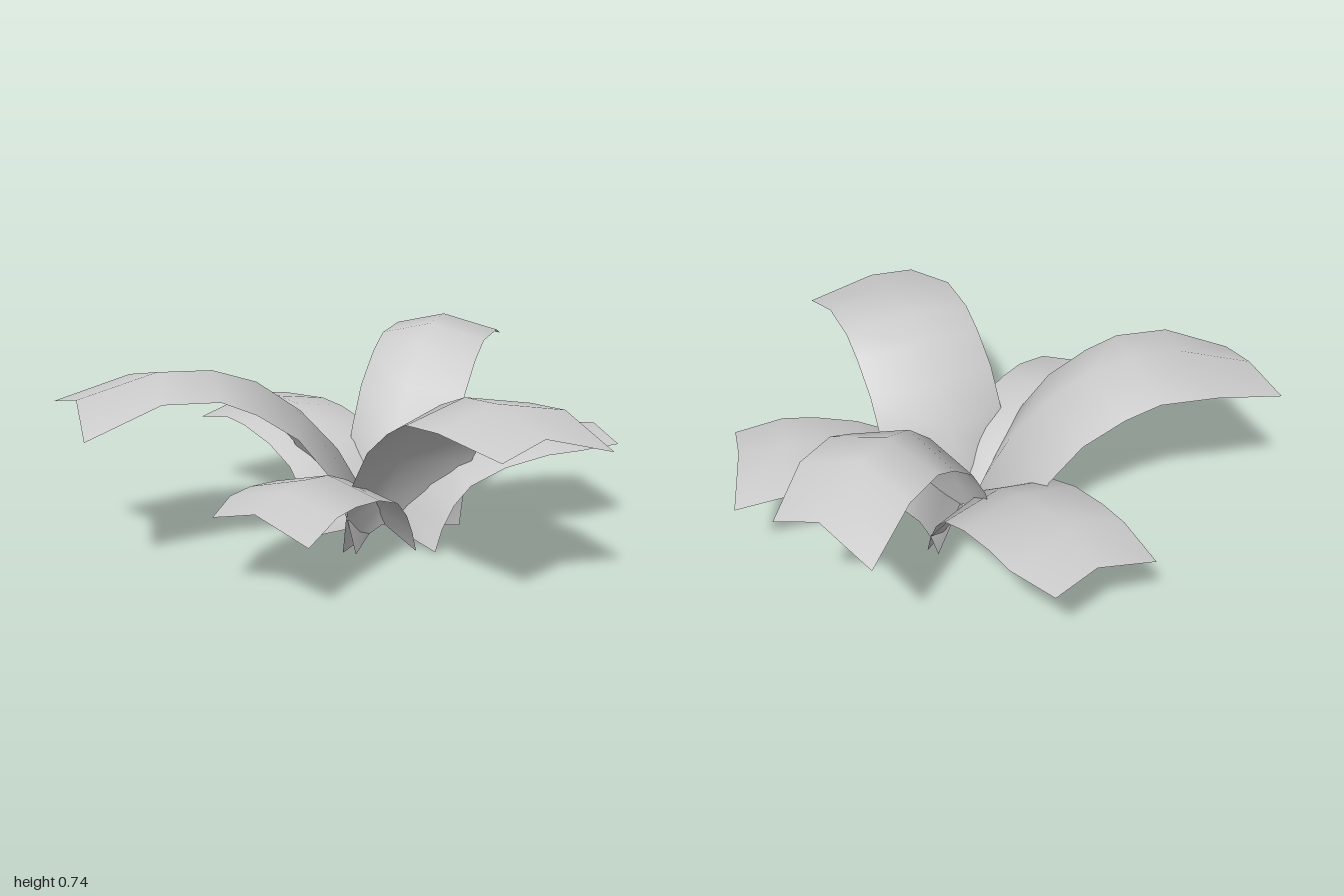
import * as THREE from 'three';

// Leaf profiles as [distance from the centre, height], base to tip
const TALL = {
  ridge: [[0, .05], [.05, .2], [.13, .38], [.25, .55], [.39, .68], [.53, .74], [.70, .75], [.95, .67]],
  edge: [[.14, .03], [.165, .17], [.22, .35], [.32, .51], [.45, .62], [.56, .68], [.74, .69], [.98, .58]],
};
const LOW = {
  ridge: [[0, .05], [.06, .12], [.14, .21], [.25, .29], [.37, .34], [.52, .365], [.65, .36], [.82, .33]],
  edge: [[.11, .005], [.14, .09], [.185, .17], [.25, .235], [.38, .285], [.54, .31], [.66, .31], [.835, .26]],
};

// Arched leaf folded along its ridge, growing towards -z.
// The right tip corner is narrower and less folded; skew makes the right side longer.
function leafGeometry({ ridge, edge }, half, length, height, skew) {
  const pos = [], index = [];
  const last = ridge.length - 1;
  for (let i = 0; i <= last; i++) {
    const [er, ey] = edge[i];
    const [rr, ry] = ridge[i];
    const right = half * (i === last ? 0.75 : 1);
    const rightY = i === last ? (ey + ry) / 2 : ey;
    pos.push(-half, ey * height, -er * length * (1 - skew));
    pos.push(0, ry * height, -rr * length);
    pos.push(right, rightY * height, -er * length * (1 + skew));
  }
  for (let i = 0; i < last; i++) {
    for (let j = 0; j < 2; j++) {
      const a = i * 3 + j;
      index.push(a, a + 1, a + 3, a + 1, a + 4, a + 3);
    }
  }
  const g = new THREE.BufferGeometry();
  g.setAttribute('position', new THREE.Float32BufferAttribute(pos, 3));
  g.setIndex(index);
  g.computeVertexNormals();
  return g;
}

export function createModel() {
  const group = new THREE.Group();
  group.name = 'plant';
  const leafGrey = new THREE.MeshStandardMaterial({ color: 0xcccccc, side: THREE.DoubleSide });
  leafGrey.name = 'leaf grey';

  // name, profile, heading x/z, base x/z, half width, length, height, pitch, skew
  const leaves = [
    ['tallLeafBack', TALL, 0, -1, .04, .05, .22, 1, .993, 0, 0],
    ['tallLeafFrontRight', TALL, -.78, .63, .015, .05, .245, 1.15, .955, -.015, .03],
    ['tallLeafFrontLeft', TALL, .816, .578, .04, .055, .265, 1.01, .87, .04, 0],
    ['lowLeafFront', LOW, -.15, .99, .02, .03, .22, 1, 1, 0, 0],
    ['lowLeafBackRight', LOW, -.87, -.49, .03, .045, .245, 1.09, 1.04, .06, 0],
    ['lowLeafBackLeft', LOW, .8, -.6, .055, .045, .25, 1.06, 1.04, .055, 0],
  ];
  for (const [name, profile, dx, dz, x, z, half, length, height, pitch, skew] of leaves) {
    const leaf = new THREE.Mesh(leafGeometry(profile, half, length, height, skew), leafGrey);
    leaf.name = name;
    leaf.position.set(x, 0, z);
    leaf.rotation.set(pitch, Math.atan2(-dx, -dz), 0, 'YXZ');
    group.add(leaf);
  }
  return group;
}
